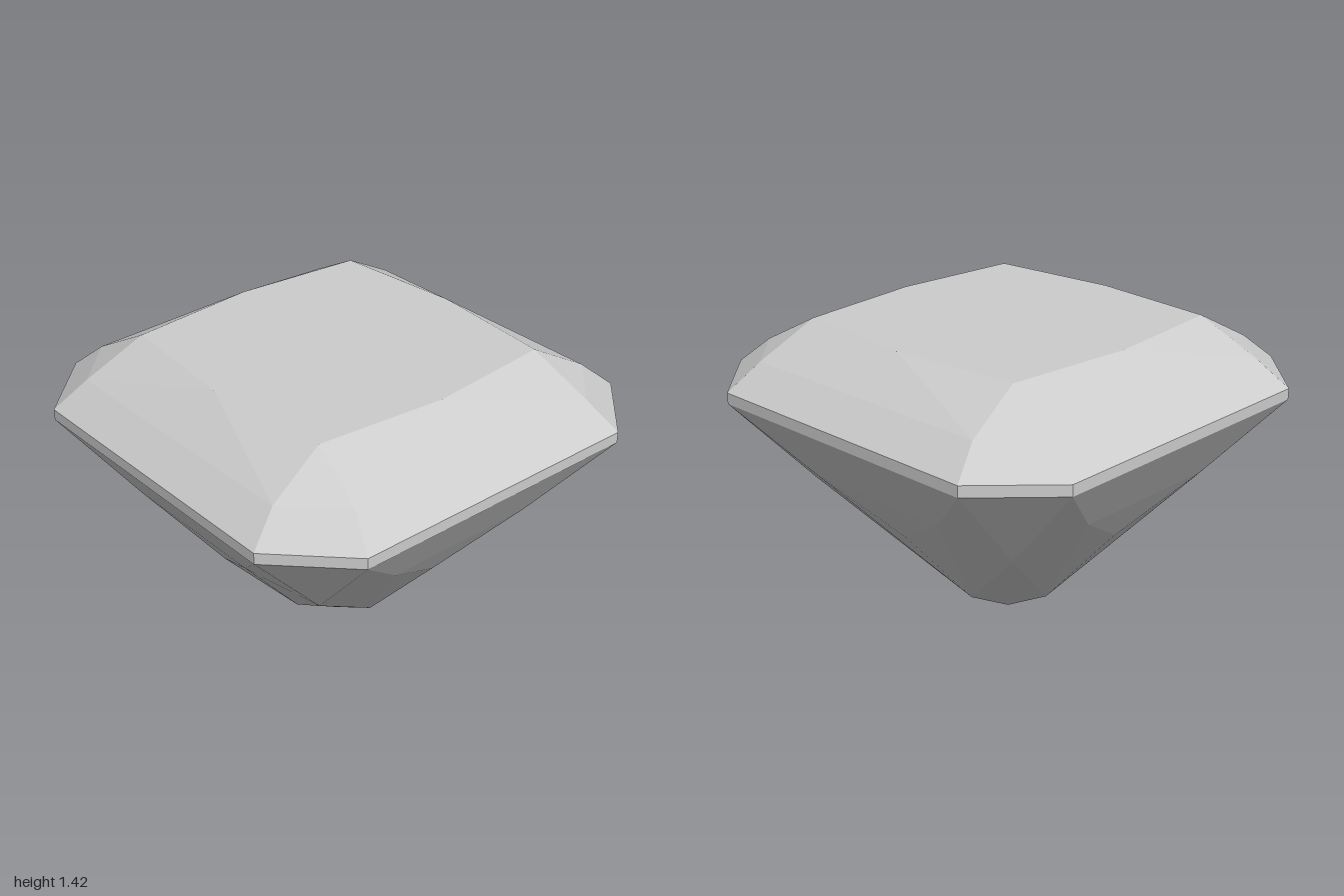
import * as THREE from 'three';

const material = new THREE.MeshStandardMaterial({ color: 0xcccccc });
material.name = 'pale grey';
material.flatShading = true;

// Quarter turns about y; facets are repeated on the four sides.
const turn = ([x, y, z], n) => {
  for (let i = 0; i < n; i++) [x, z] = [z, -x];
  return [x, y, z];
};
const flip = ([x, y, z]) => [-x, y, z];

// Builds flat facets; each is fanned and turned to face away from the core.
function facetMesh(name, facets) {
  const core = new THREE.Vector3(0, 1.05, 0);
  const points = [];
  for (const facet of facets) {
    const p = facet.map((v) => new THREE.Vector3(...v));
    for (let i = 1; i < p.length - 1; i++) {
      const [a, b, c] = [p[0], p[i], p[i + 1]];
      const normal = b.clone().sub(a).cross(c.clone().sub(a));
      const outward = normal.dot(a.clone().sub(core)) > 0;
      points.push(...(outward ? [a, b, c] : [a, c, b]));
    }
  }
  const geometry = new THREE.BufferGeometry().setFromPoints(points);
  geometry.computeVertexNormals();
  const mesh = new THREE.Mesh(geometry, material);
  mesh.name = name;
  return mesh;
}

const fourSides = (facets) =>
  [0, 1, 2, 3].flatMap((n) => facets.map((f) => f.map((v) => turn(v, n))));

export function createModel() {
  const gem = new THREE.Group();
  gem.name = 'cutGem';

  // Corner points of the front side and its neighbour around the +x corner
  const upper = [0.7, 1.155, 1], upperNext = [1, 1.155, 0.7];
  const lower = [0.7, 1.105, 1], lowerNext = [1, 1.105, 0.7];

  // Crown: flat table, star facets and bevels
  const bevel = [0.64, 1.275, 0.86], bevelNext = [0.86, 1.275, 0.64];
  const tableCorner = [0.595, 1.42, 0.595], tableMid = [0, 1.42, 0.65];
  const table = [0, 1, 2, 3].flatMap((n) => [turn(tableMid, n), turn(tableCorner, n)]);
  gem.add(facetMesh('crown', [
    table,
    ...fourSides([
      [flip(upper), upper, bevel, flip(bevel)],
      [upper, upperNext, bevelNext, bevel],
      [flip(bevel), bevel, tableMid],
      [bevel, tableCorner, tableMid],
      [flip(bevel), flip(tableCorner), tableMid],
      [bevel, bevelNext, tableCorner],
    ]),
  ]));

  // Girdle: thin upright band
  gem.add(facetMesh('girdle', fourSides([
    [flip(lower), lower, upper, flip(upper)],
    [lower, lowerNext, upperNext, upper],
  ])));

  // Pavilion: facets narrowing to the bottom point
  const mid = [0.37, 0.81, 0.8], sideTip = [0, 0.58, 0.635];
  const cornerTip = [0.615, 0.67, 0.615], cornerMid = [0.8, 0.81, 0.37];
  const low = [0, 0.135, 0.24], lowNext = [0.24, 0.135, 0];
  const half = [
    [mid, sideTip, low],
    [mid, low, cornerTip],
    [lower, mid, cornerTip],
  ];
  gem.add(facetMesh('pavilion', fourSides([
    [flip(lower), lower, mid, flip(mid)],
    [flip(mid), mid, sideTip],
    ...half,
    ...half.map((f) => f.map(flip)),
    [lower, lowerNext, cornerTip],
    [cornerTip, low, lowNext],
    [low, lowNext, [0, 0, 0]],
  ])));

  return gem;
}
